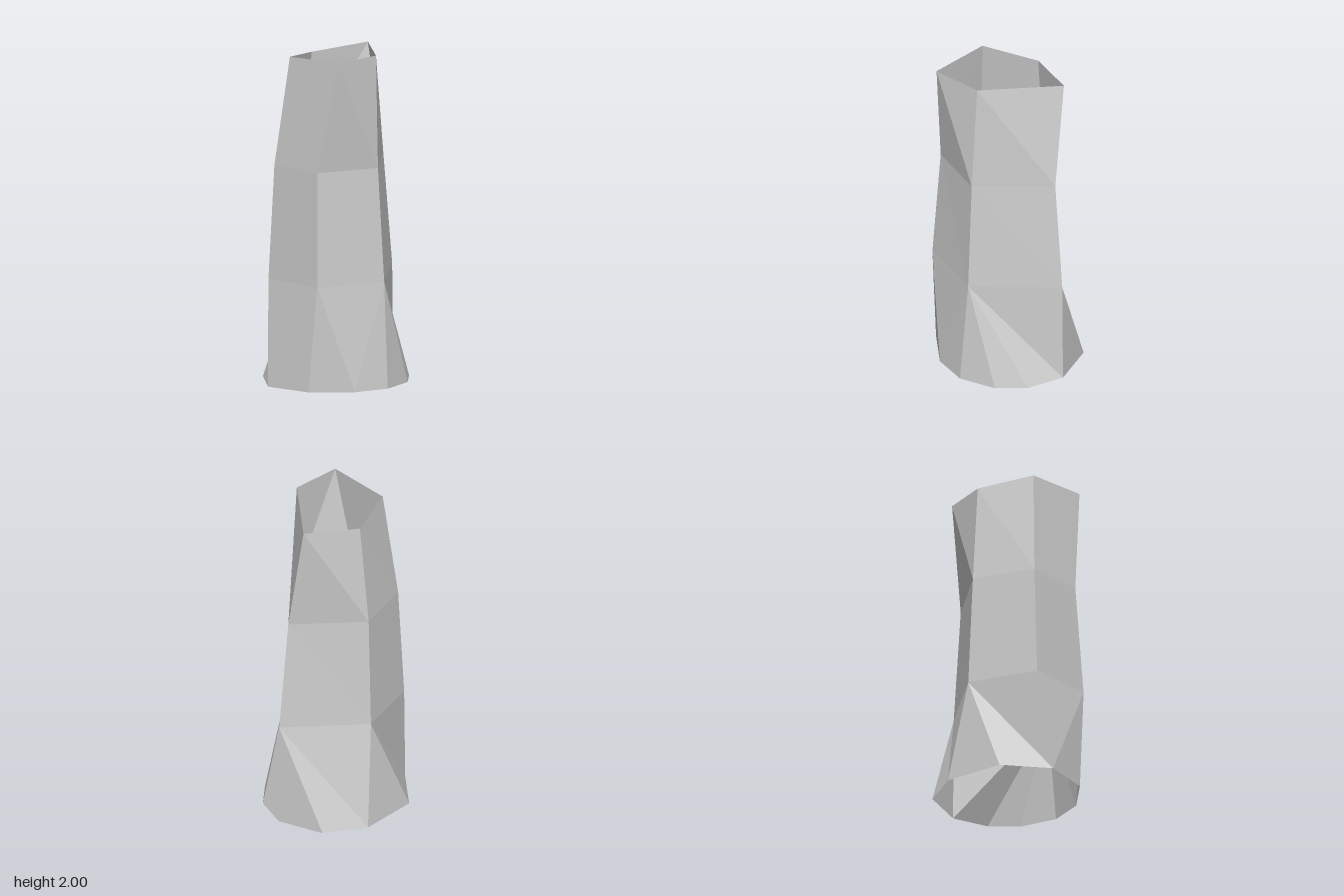
import * as THREE from 'three';

// Five-sided rings of the shaft, [x, y, z], running front-left, front, right, back, back-left
const lower = [[-0.39, 0.64, 0.22], [0.025, 0.64, 0.365], [0.45, 0.64, 0], [0.025, 0.64, -0.345], [-0.39, 0.64, -0.195]];
const middle = [[-0.355, 1.325, 0.185], [0.015, 1.325, 0.322], [0.385, 1.325, -0.01], [0.015, 1.325, -0.315], [-0.355, 1.325, -0.18]];
const rim = [[-0.29, 2, 0.295], [0.03, 2, 0.29], [0.36, 1.98, -0.115], [0.03, 1.945, -0.255], [-0.29, 1.98, -0.115]];

// Ten-sided footprint, [x, z], in the same direction from the left
const footprint = [[-0.46, -0.13], [-0.41, 0.165], [-0.21, 0.355], [0.005, 0.415], [0.23, 0.355],
  [0.375, 0.22], [0.455, 0], [0.365, -0.285], [0.12, -0.42], [-0.255, -0.38]];
const base = footprint.map(([x, z]) => [x, 0, z]);

// Footprint corner where the fan of each ring corner starts (and the last one ends)
const fans = [0, 2, 6, 8, 10, 10];

function facetMesh(name, triangles, material) {
  const geometry = new THREE.BufferGeometry();
  geometry.setAttribute('position', new THREE.Float32BufferAttribute(triangles.flat(2), 3));
  geometry.computeVertexNormals();
  const mesh = new THREE.Mesh(geometry, material);
  mesh.name = name;
  return mesh;
}

// Band of split quads between two rings with equal corner counts
function band(bottom, top) {
  return bottom.flatMap((corner, i) => {
    const j = (i + 1) % bottom.length;
    return [[corner, bottom[j], top[i]], [bottom[j], top[j], top[i]]];
  });
}

// Flared foot: triangle fans from the ten-sided footprint to the five-sided ring
function flare() {
  const triangles = [];
  const foot = (i) => base[i % base.length];
  lower.forEach((corner, i) => {
    for (let b = fans[i]; b < fans[i + 1]; b++) triangles.push([foot(b), foot(b + 1), corner]);
    triangles.push([foot(fans[i + 1]), lower[(i + 1) % lower.length], corner]);
  });
  return triangles;
}

export function createModel() {
  const grey = new THREE.MeshStandardMaterial({ color: 0xcccccc });
  grey.name = 'lightGrey';
  grey.side = THREE.DoubleSide;
  grey.flatShading = true;

  const group = new THREE.Group();
  group.name = 'hollowTrunk';
  group.add(
    facetMesh('flaredFoot', flare(), grey),
    facetMesh('lowerShaft', band(lower, middle), grey),
    facetMesh('upperShaft', band(middle, rim), grey),
  );
  return group;
}
